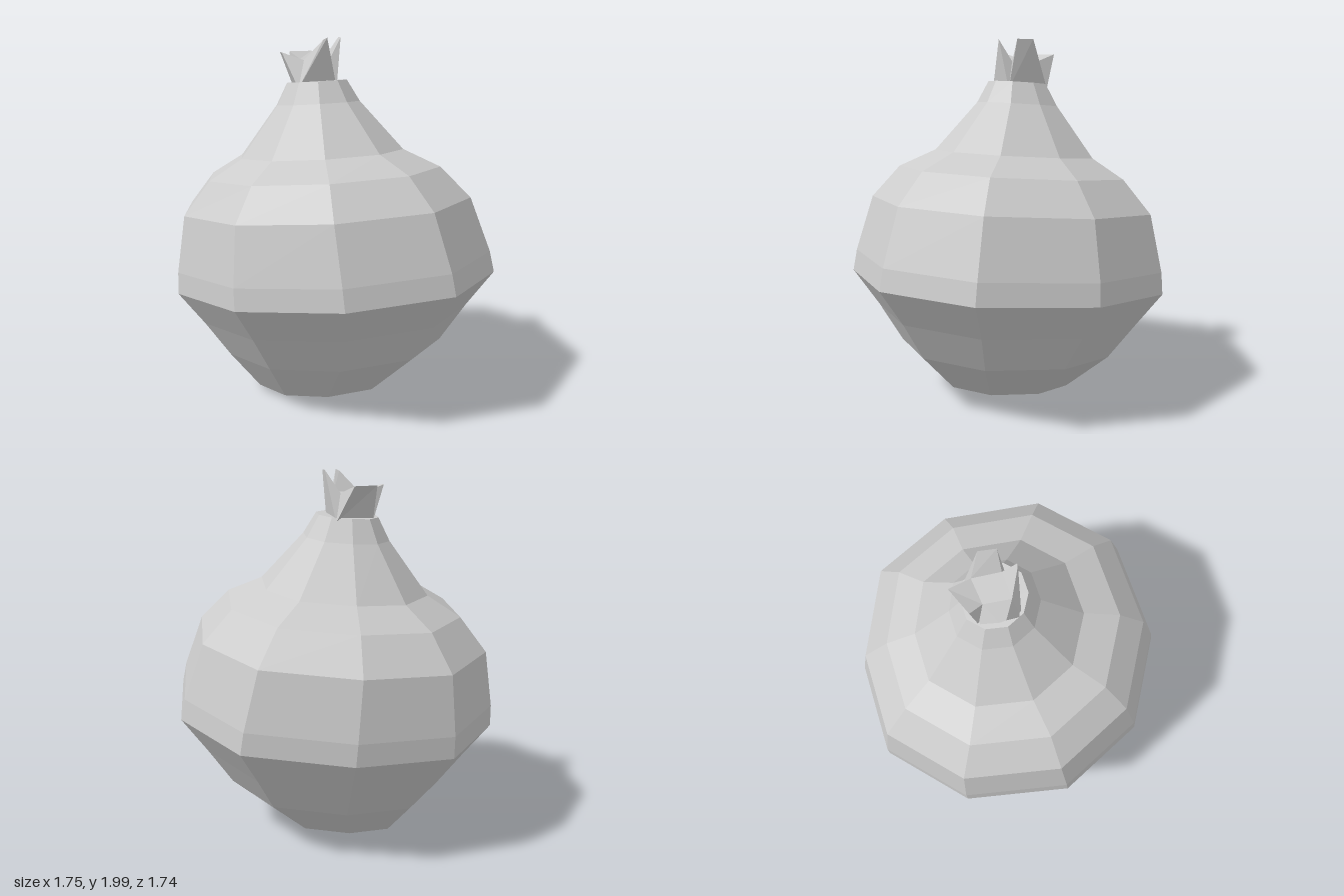
import * as THREE from 'three';

// Uneven ten-sided outline of the bulb, [x, z], in counter-clockwise order from above
const OUTLINE = [
  [0.06, -0.87], [-0.46, -0.81], [-0.82, -0.4], [-0.88, 0.18], [-0.61, 0.64],
  [-0.1, 0.87], [0.48, 0.8], [0.84, 0.4], [0.87, -0.22], [0.6, -0.69],
];

// Rings from base to neck: [height, radius, centre x, centre z]
const RINGS = [
  [0.045, 0.385, -0.05, 0.01],
  [0.275, 0.6, 0, 0.01],
  [0.48, 0.735, 0, 0],
  [0.675, 0.873, 0, 0],
  [0.79, 0.86, -0.01, -0.01],
  [1.09, 0.785, -0.04, -0.035],
  [1.265, 0.635, -0.05, -0.04],
  [1.365, 0.45, -0.055, -0.06],
  [1.64, 0.23, -0.065, -0.08],
  [1.76, 0.165, -0.07, -0.08],
];

const material = new THREE.MeshStandardMaterial({
  color: 0xcccccc, flatShading: true, side: THREE.DoubleSide,
});

function makeMesh(name, points, faces) {
  const geometry = new THREE.BufferGeometry();
  geometry.setAttribute('position', new THREE.Float32BufferAttribute(points.flat(), 3));
  geometry.setIndex(faces.flat());
  const flat = geometry.toNonIndexed();
  flat.computeVertexNormals();
  const mesh = new THREE.Mesh(flat, material);
  mesh.name = name;
  return mesh;
}

// Skin lofted through the rings, each leaning a little to the back and right
function makeBulb() {
  const n = OUTLINE.length;
  const points = [];
  const faces = [];
  for (const [y, r, cx, cz] of RINGS) {
    for (const [ox, oz] of OUTLINE) {
      const x = (ox * r) / 0.875;
      const z = (oz * r) / 0.875;
      points.push([cx + x, Math.max(0, y + 0.045 * x + 0.07 * z), cz + z]);
    }
  }
  for (let k = 0; k < RINGS.length - 1; k++) {
    for (let i = 0; i < n; i++) {
      const a = k * n + i, b = k * n + ((i + 1) % n);
      faces.push([a, b, b + n], [a, b + n, a + n]);
    }
  }
  // Flat base and a closed neck
  const top = (RINGS.length - 1) * n;
  for (let i = 1; i < n - 1; i++) {
    faces.push([0, i + 1, i], [top, top + i, top + i + 1]);
  }
  return makeMesh('bulb', points, faces);
}

// Crown: four splayed leaf tips standing around a small cap
function makeCrown() {
  const corners = [[-0.15, -0.15], [-0.15, -0.01], [-0.005, -0.03], [-0.01, -0.18]];
  const tips = [
    [[-0.27, 1.92, -0.09], [-0.265, 1.92, -0.06]],
    [[-0.05, 1.99, 0.035], [-0.03, 2, 0.04]],
    [[0.06, 2, -0.04], [0.065, 2, -0.13]],
    [[-0.06, 1.92, -0.295], [-0.2, 1.92, -0.22]],
  ];
  const points = [];
  const faces = [];
  const cx = -0.075, cz = -0.09;
  corners.forEach(([x, z]) => points.push([x, 1.88, z]));
  corners.forEach(([x, z]) => points.push([cx + (x - cx) * 1.5, 1.73, cz + (z - cz) * 1.5]));
  tips.forEach((pair) => points.push(...pair));
  for (let i = 0; i < 4; i++) {
    const j = (i + 1) % 4;
    const t0 = 8 + i * 2, t1 = t0 + 1;
    faces.push([4 + i, 4 + j, t1], [4 + i, t1, t0]); // outer side
    faces.push([j, i, t0], [j, t0, t1]);             // inner side
    faces.push([4 + i, t0, i], [4 + j, j, t1]);      // edges
  }
  faces.push([0, 1, 2], [0, 2, 3]);
  return makeMesh('crown', points, faces);
}

export function createModel() {
  const group = new THREE.Group();
  group.name = 'onion';
  group.add(makeBulb(), makeCrown());
  return group;
}
